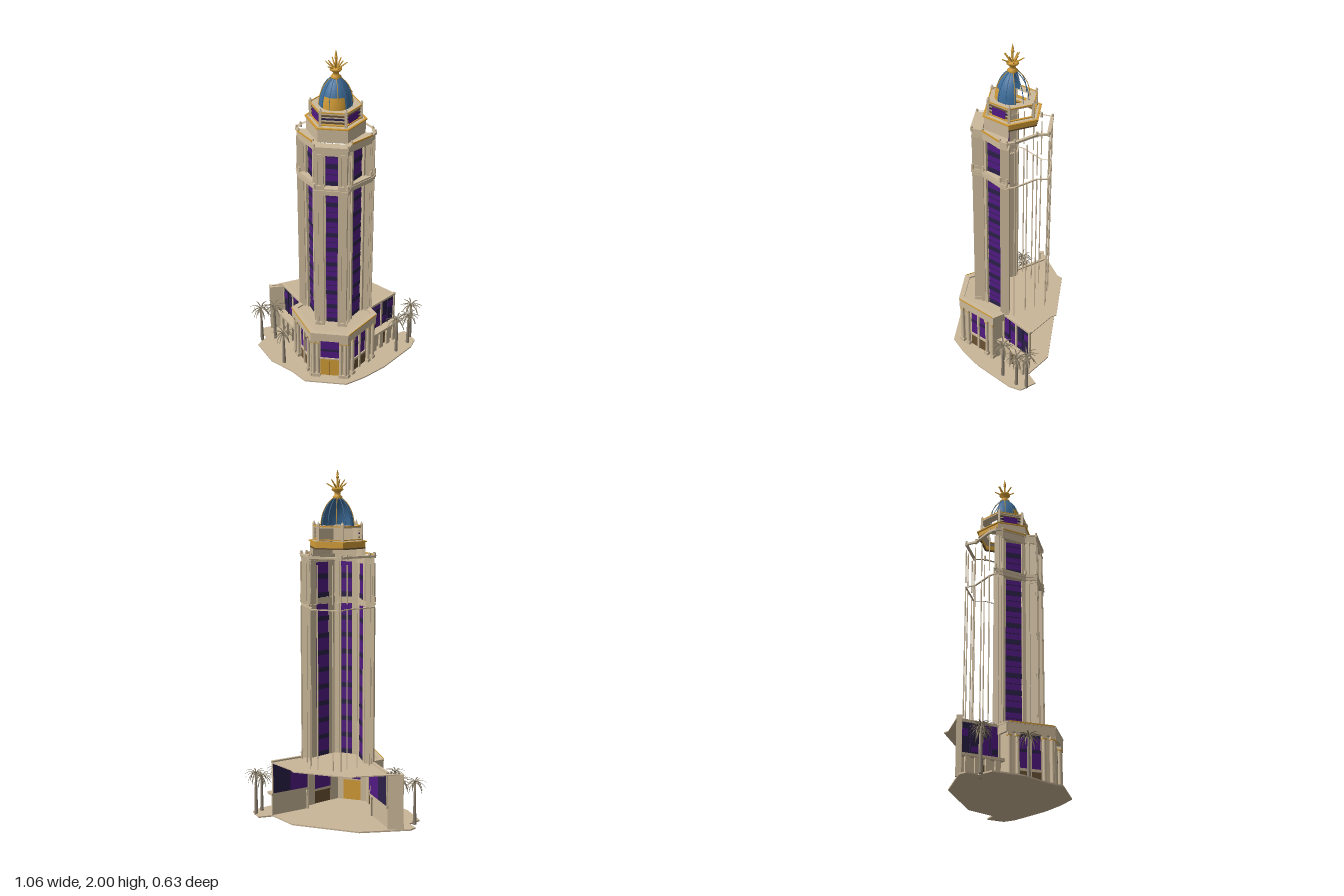
import * as THREE from 'three';

const mat = (name, color, side = THREE.FrontSide) => {
  const m = new THREE.MeshStandardMaterial({ color, side });
  m.name = name;
  return m;
};

export function createModel() {
  const stone = mat('stone', 0xcdba9b);
  const paving = mat('paving', 0xcab699, THREE.DoubleSide);
  const purple = mat('purple glass', 0x511a82);
  const dark = mat('dark glass', 0x2b2048);
  const gold = mat('gold', 0xd29c36, THREE.DoubleSide);
  const bronze = mat('bronze', 0x6a5232);
  const blue = mat('dome blue', 0x3e6e9b, THREE.DoubleSide);
  const bark = mat('bark', 0x8d8170);
  const leaf = mat('palm leaf', 0x7c715c, THREE.DoubleSide);

  const model = new THREE.Group();
  model.name = 'tower';
  const CX = 0.012, CZ = -0.032;

  const add = (parent, name, geo, m, x = 0, y = 0, z = 0) => {
    const mesh = new THREE.Mesh(geo, m);
    mesh.name = name;
    mesh.position.set(x, y, z);
    parent.add(mesh);
    return mesh;
  };
  // box between two heights
  const box = (p, name, m, x, z, w, d, y0, y1) =>
    add(p, name, new THREE.BoxGeometry(w, y1 - y0, d), m, x, (y0 + y1) / 2, z);
  // group on a wall line, local +z pointing outward
  const face = (parent, name, [ax, az], [bx, bz]) => {
    const g = new THREE.Group();
    g.name = name;
    g.position.set((ax + bx) / 2, 0, (az + bz) / 2);
    g.rotation.y = Math.atan2(az - bz, bx - ax);
    g.userData.w = Math.hypot(bx - ax, bz - az);
    parent.add(g);
    return g;
  };
  // flat slab from [x, z] points
  const slab = (parent, name, m, pts, y0, y1, hole) => {
    const s = new THREE.Shape(pts.map(p => new THREE.Vector2(...p)));
    if (hole) s.holes.push(new THREE.Path(hole.map(p => new THREE.Vector2(...p))));
    const g = new THREE.ExtrudeGeometry(s, { depth: y1 - y0, bevelEnabled: false });
    g.rotateX(Math.PI / 2);
    return add(parent, name, g, m, 0, y1, 0);
  };
  // outlines running from -x across the front to +x; the whole loop mirrors them behind
  const hexLine = R => [[-R, 0], [-R / 2, R * 0.866], [R / 2, R * 0.866], [R, 0]];
  const plan = (k = 1) => [[-0.222, 0], [-0.205, 0.04], [-0.107, 0.15], [-0.094, 0.213],
    [0.094, 0.213], [0.107, 0.15], [0.205, 0.04], [0.222, 0]].map(([x, z]) => [x * k, z * k]);
  const back = line => line.map(([x, z]) => [x, -z]);
  const loop = line => [...line, ...back(line.slice(1, -1)).reverse()];
  const half = (p, name, m, outer, inner, y0, y1) => slab(p, name, m, [...outer, ...inner.reverse()], y0, y1);
  const full = (p, name, m, outer, inner, y0, y1) => slab(p, name, m, loop(outer), y0, y1, loop(inner));

  // ---- Plaza and podium roof
  slab(model, 'plaza', paving, [[-0.46, -0.15], [-0.2, -0.28], [0.2, -0.28], [0.36, -0.18], [0.43, -0.23],
    [0.5, -0.15], [0.48, -0.08], [0.33, 0.13], [0.22, 0.24], [0.12, 0.315], [-0.13, 0.315],
    [-0.22, 0.24], [-0.36, 0.16], [-0.47, 0.02], [-0.43, -0.06], [-0.48, -0.11]], 0, 0.008);
  slab(model, 'podiumRoof', paving, [[-0.42, -0.17], [-0.19, -0.29], [-0.17, -0.32], [0.18, -0.32], [0.2, -0.29],
    [0.36, -0.19], [0.2, -0.01], [0.25, 0.045], [0.11, 0.26], [-0.09, 0.26], [-0.23, 0.045], [-0.18, -0.01],
    [-0.34, -0.19]], 0.325, 0.331);

  // ---- Podium entrance block
  const pod = [[-0.186, -0.01], [-0.23, 0.045], [-0.092, 0.26], [0.116, 0.26], [0.254, 0.045], [0.21, -0.01]];
  for (let i = 0; i < 5; i++) {
    const f = face(model, i === 2 ? 'entranceFront' : 'podiumSide', pod[i], pod[i + 1]);
    const w = f.userData.w, front = i === 2, ww = front ? 0.11 : 0.12;
    box(f, 'cornice', stone, 0, 0, w + 0.012, 0.025, 0.285, 0.335);
    box(f, 'parapet', stone, 0, 0, w + 0.015, 0.03, 0.332, 0.342);
    if (i === 0 || i === 4) { box(f, 'wall', stone, 0, -0.005, w, 0.01, 0.005, 0.29); continue; }
    if (!front) box(f, 'parapetTrim', gold, 0, 0.015, w, 0.004, 0.337, 0.344);
    for (const s of [-1, 1]) {
      const side = (w - ww) / 2;
      box(f, 'wall', stone, s * (ww + side) / 2, -0.018, side, 0.012, 0.005, 0.29);
      for (const u of [ww / 2 + 0.014, w / 2 - 0.008]) {
        add(f, 'column', new THREE.CylinderGeometry(0.01, 0.011, 0.26, 10), stone, s * u, 0.15, 0);
        box(f, 'columnBase', stone, s * u, 0, 0.026, 0.026, 0.005, 0.03);
        box(f, 'capital', stone, s * u, 0, 0.024, 0.024, 0.27, 0.285);
        box(f, 'capitalTrim', gold, s * u, 0, 0.023, 0.023, 0.264, 0.27);
      }
    }
    box(f, 'doors', front ? gold : bronze, 0, -0.015, ww, 0.009, 0.008, front ? 0.135 : 0.09);
    box(f, 'doorSplit', bronze, 0, -0.0095, 0.002, 0.003, 0.008, front ? 0.115 : 0.085);
    box(f, 'lintel', stone, 0, -0.014, ww, 0.014, front ? 0.132 : 0.085, front ? 0.14 : 0.1);
    box(f, 'window', purple, 0, -0.018, ww, 0.008, front ? 0.14 : 0.1, 0.268);
    box(f, 'windowHead', dark, 0, -0.018, ww, 0.008, 0.268, 0.29);
    box(f, 'windowBand', dark, 0, -0.013, ww, 0.004, 0.19, 0.205);
    if (!front) box(f, 'mullion', stone, 0, -0.008, 0.012, 0.012, 0.008, 0.285);
  }

  // ---- Side wings: glazed upper wall above a lower ledge
  for (const s of [-1, 1]) {
    const inner = [CX + s * 0.2, -0.01], outer = [CX + s * 0.345, -0.185];
    const f = s < 0 ? face(model, 'leftWing', outer, inner) : face(model, 'rightWing', inner, outer);
    const w = f.userData.w, bay = w / 4;
    // panes darken towards the outer end
    [purple, purple, dark, dark].forEach((m, k) => {
      const u = s * (k - 1.5) * bay;
      box(f, 'wingGlass', m, u, -0.004, bay, 0.008, 0.145, 0.325);
      box(f, 'wingPane', m === dark ? purple : dark, u, 0.001, bay * 0.6, 0.004, k % 2 ? 0.25 : 0.17, k % 2 ? 0.29 : 0.2);
    });
    for (const u of [-2, -1, 0, 1, 2])
      box(f, 'wingMullion', u % 2 ? dark : stone, u * bay * 0.97, 0, u % 2 ? 0.004 : 0.012, 0.014, 0.14, 0.33);
    box(f, 'wingCornice', stone, 0, 0, w + 0.01, 0.016, 0.325, 0.34);
    box(f, 'ledge', stone, 0, 0.02, w + 0.02, 0.055, 0.13, 0.145);
    for (const u of [-0.085, -0.03, 0.03, 0.085]) box(f, 'ledgePier', stone, u, 0.034, 0.028, 0.014, 0.005, 0.13);
    box(f, 'shopWall', stone, 0, 0.012, w, 0.008, 0.005, 0.13);
    box(f, 'shopDoor', bronze, 0, 0.018, 0.04, 0.006, 0.008, 0.1);
  }
  const end = face(model, 'wingEndWall', [-0.42, -0.165], [-0.335, -0.185]);
  box(end, 'endWall', stone, 0, 0, 0.085, 0.014, 0.005, 0.325);
  box(end, 'endPost', stone, -0.036, 0, 0.02, 0.03, 0.005, 0.33);

  // ---- Tower shaft: recessed window walls between corner piers, open behind
  const tower = new THREE.Group();
  tower.name = 'shaft';
  tower.position.set(CX, 0, CZ);
  model.add(tower);
  const walls = [[[-0.17, 0.002], [-0.08, 0.158], 0.095], [[-0.085, 0.17], [0.085, 0.17], 0.068],
    [[0.08, 0.158], [0.17, 0.002], 0.095]];
  const storey = (y0, y1, floors) => {
    for (const [a, b, win] of walls) {
      const f = face(tower, 'windowWall', a, b);
      const side = (f.userData.w - win) / 2, h = (y1 - y0) / floors;
      box(f, 'glass', purple, 0, -0.004, win, 0.008, y0, y1);
      for (let k = 0; k < floors; k++) {
        const y = y0 + k * h;
        box(f, 'spandrel', dark, 0, -0.003, win, 0.012, y, y + h * 0.28);
        box(f, 'sill', dark, 0, 0, win, 0.006, y + h * 0.64, y + h * 0.67);
      }
      for (const s of [-1, 1]) {
        box(f, 'wall', stone, s * (win + side) / 2, -0.004, side, 0.012, y0, y1);
        box(f, 'pilaster', stone, s * (win / 2 + 0.008), 0.006, 0.014, 0.02, y0, y1);
      }
    }
    for (const s of [-1, 1]) {
      // front pier with fluted edges, then the side pier
      box(tower, 'frontPier', stone, s * 0.066, 0.178, 0.046, 0.05, y0, y1);
      for (const u of [0.05, 0.08]) box(tower, 'pierStrip', stone, s * u, 0.2, 0.016, 0.022, y0, y1);
      box(tower, 'pierFlank', stone, s * 0.092, 0.158, 0.02, 0.022, y0, y1);
      box(tower, 'sidePier', stone, s * 0.187, 0.01, 0.04, 0.04, y0, y1);
      box(tower, 'sidePierStrip', stone, s * 0.208, 0.005, 0.02, 0.026, y0, y1);
      box(tower, 'sidePierFlank', stone, s * 0.187, 0.032, 0.02, 0.018, y0, y1);
      box(tower, 'pierFoot', stone, s * 0.066, 0.182, 0.054, 0.062, y0, y0 + 0.02);
      box(tower, 'pierCap', stone, s * 0.066, 0.182, 0.052, 0.06, y1 - 0.015, y1);
      // slender posts behind
      for (const [x, z] of [[0.205, -0.04], [0.15, -0.1], [0.107, -0.15], [0.09, -0.21], [0.045, -0.21]])
        box(tower, 'rearPost', stone, s * x, z, 0.006, 0.006, y0, y1);
    }
  };
  storey(0.332, 1.235, 9);
  storey(1.27, 1.485, 2);
  half(tower, 'shaftLedge', stone, plan(), plan(0.76), 1.232, 1.272);
  half(tower, 'ledgeLip', stone, plan(1.02), plan(0.8), 1.25, 1.262);
  half(tower, 'upperCornice', stone, plan(0.98), plan(0.72), 1.475, 1.522);
  full(tower, 'corniceRing', stone, plan(1.02), plan(0.93), 1.518, 1.53);
  full(tower, 'ledgeRing', stone, plan(), plan(0.95), 1.236, 1.242);
  loop(plan(0.98)).forEach(([x, z]) => {
    add(tower, 'cornerFinial', new THREE.CylinderGeometry(0.006, 0.008, 0.03, 6), stone, x, 1.528, z);
    if (z >= 0) add(tower, 'ledgeFinial', new THREE.CylinderGeometry(0.007, 0.01, 0.03, 6), stone, x, 1.285, z);
  });
  for (const [a, b] of [[[-0.205, 0.04], [-0.107, 0.15]], [[0.107, 0.15], [0.205, 0.04]]]) {
    const f = face(tower, 'corniceTrim', a, b);
    box(f, 'goldStrip', gold, 0, 0.003, f.userData.w, 0.004, 1.523, 1.533);
  }

  // ---- Stepped crown block
  half(tower, 'lowerDrum', stone, hexLine(0.164), hexLine(0.145), 1.52, 1.602);
  half(tower, 'rearDrumBand', gold, back(hexLine(0.16)), back(hexLine(0.154)), 1.572, 1.601);
  half(tower, 'rearDrumEdge', bronze, back(hexLine(0.163)), back(hexLine(0.152)), 1.564, 1.572);
  full(tower, 'goldCornice', gold, hexLine(0.172), hexLine(0.159), 1.6, 1.607);
  full(tower, 'drumDeck', stone, hexLine(0.159), hexLine(0.12), 1.599, 1.605);
  half(tower, 'upperDrum', stone, hexLine(0.132), hexLine(0.118), 1.603, 1.685);
  for (const y of [1.622, 1.643, 1.662])
    half(tower, 'drumBand', y > 1.63 && y < 1.65 ? dark : bronze, hexLine(0.138), hexLine(0.122), y, y + 0.009);
  for (const [a, b] of [[[-0.132, 0], [-0.066, 0.1143]], [[0.066, 0.1143], [0.132, 0]]])
    box(face(tower, 'drumSide', a, b), 'drumGlass', purple, 0, 0.003, 0.085, 0.008, 1.618, 1.664);
  full(tower, 'drumTrim', gold, hexLine(0.146), hexLine(0.133), 1.612, 1.617);
  full(tower, 'balconyRing', stone, hexLine(0.144), hexLine(0.088), 1.679, 1.687);
  full(tower, 'balconyTrim', gold, hexLine(0.146), hexLine(0.14), 1.685, 1.691);
  loop(hexLine(0.14)).forEach(([x, z]) => {
    box(tower, 'balconyPost', stone, x, z, 0.014, 0.014, 1.605, 1.7);
    add(tower, 'postCap', new THREE.ConeGeometry(0.009, 0.016, 6), stone, x, 1.708, z);
  });

  // ---- Dome with ribs
  const prof = [[0.092, 1.685], [0.089, 1.72], [0.081, 1.755], [0.066, 1.79], [0.045, 1.82], [0.02, 1.842]];
  const lathe = (pts, grow, start, len, seg) =>
    new THREE.LatheGeometry(pts.map(([r, y]) => new THREE.Vector2(r + grow, y)), seg, start, len);
  add(tower, 'dome', lathe(prof, 0, -1.9, 3.8, 24), blue);
  add(tower, 'domeGoldPanel', lathe(prof.slice(0, 3), 0.003, -0.7, 1.4, 10), gold);
  for (let i = 0; i < 12; i++) {
    const a = (i + 0.5) * Math.PI / 6;
    const curve = new THREE.CatmullRomCurve3(prof.map(([r, y]) =>
      new THREE.Vector3(Math.sin(a) * (r + 0.002), y, Math.cos(a) * (r + 0.002))));
    add(tower, 'domeRib', new THREE.TubeGeometry(curve, 10, 0.0022, 4), i % 3 ? blue : gold);
  }

  // ---- Gold crown and finial
  add(tower, 'crownBase', lathe([[0.022, 1.835], [0.03, 1.846], [0.018, 1.856], [0.016, 1.87], [0.034, 1.886],
    [0.03, 1.896], [0.008, 1.9]], 0, 0, Math.PI * 2, 12), gold);
  for (let i = 0; i < 10; i++) {
    const a = i * Math.PI / 5, tilt = i % 2 ? 1.0 : 0.6;
    const dir = new THREE.Vector3(Math.sin(a) * Math.sin(tilt), Math.cos(tilt), Math.cos(a) * Math.sin(tilt));
    const spike = add(tower, 'crownSpike', new THREE.CylinderGeometry(0.003, 0.005, 0.06, 5), gold);
    spike.position.set(0, 1.882, 0).addScaledVector(dir, 0.042);
    spike.quaternion.setFromUnitVectors(new THREE.Vector3(0, 1, 0), dir);
  }
  add(tower, 'finialStem', new THREE.CylinderGeometry(0.004, 0.006, 0.08, 6), gold, 0, 1.93, 0);
  add(tower, 'finialBall', new THREE.SphereGeometry(0.009, 8, 6), gold, 0, 1.955, 0);
  add(tower, 'finialTip', new THREE.ConeGeometry(0.008, 0.035, 6), gold, 0, 1.9825, 0);

  // ---- Palms: arching fronds
  const frond = new THREE.PlaneGeometry(0.008, 1, 2, 5);
  const fp = frond.attributes.position;
  for (let i = 0; i < fp.count; i++) {
    const t = fp.getY(i) + 0.5, x = fp.getX(i) * (0.3 + 0.7 * Math.sin(Math.PI * t));
    fp.setXYZ(i, x, 0.05 * t - 0.075 * t * t - Math.abs(x) * 0.5, 0.066 * t);
  }
  frond.computeVertexNormals();
  [[-0.455, -0.04, 0.245], [-0.375, -0.06, 0.25], [-0.28, 0.165, 0.23],
    [0.39, -0.03, 0.245], [0.465, -0.18, 0.25], [0.455, -0.12, 0.215]].forEach(([x, z, h], n) => {
    const palm = new THREE.Group();
    palm.name = 'palm';
    palm.position.set(x, 0, z);
    model.add(palm);
    add(palm, 'trunk', new THREE.CylinderGeometry(0.006, 0.011, h, 7), bark, 0, h / 2, 0);
    for (let i = 0; i < 20; i++) {
      const f = add(palm, 'frond', frond, leaf, 0, h, 0);
      f.rotation.set([-0.5, 0.1, 0.5][i % 3], n + i * Math.PI / 10, 0, 'YXZ');
    }
  });
  return model;
}
